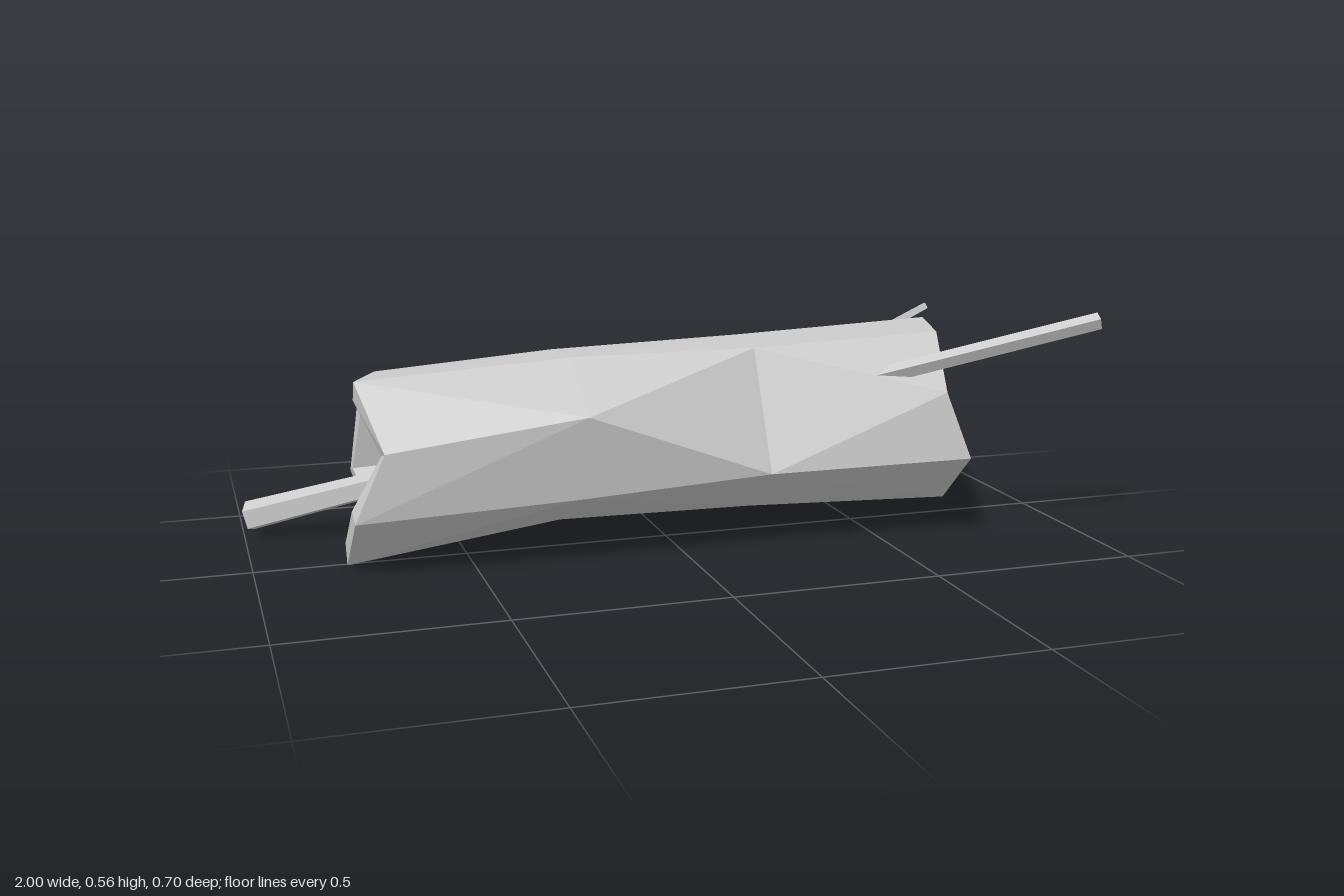
import * as THREE from 'three';

const material = () => new THREE.MeshStandardMaterial({ color: 0xcccccc, flatShading: true, side: THREE.DoubleSide });
const V = (x, y, z) => new THREE.Vector3(x, y, z);

// Eight-sided sections of the trunk from right to left; each point is [x, y, z]
const sections = [
  [[-.755, .44, .02], [-.68, .422, -.19], [-.71, .32, -.307], [-.73, .145, -.335],
    [-.7, .032, -.2], [-.785, .002, .01], [-.78, .14, .16], [-.71, .3, .17]],
  [[-.25, .475, .05], [-.25, .462, -.14], [-.25, .352, -.268], [-.25, .18, -.285],
    [-.26, .072, -.165], [-.27, .068, .005], [-.27, .165, .19], [-.25, .365, .22]],
  [[.2, .478, .078], [.23, .48, -.11], [.23, .373, -.235], [.23, .2, -.245],
    [.2, .1, -.155], [.2, .078, .06], [.2, .195, .21], [.2, .335, .144]],
  [[.67, .5, .11], [.73, .503, -.09], [.72, .39, -.24], [.74, .215, -.245],
    [.71, .09, -.095], [.71, .07, .1], [.7, .208, .26], [.645, .37, .23]],
].map(ring => ring.map(p => V(...p)));

const centre = ring => ring.reduce((sum, p) => sum.add(p), V(0, 0, 0)).divideScalar(ring.length);

// Shrink a section towards its axis, keeping its ragged x positions
function inset(ring, s) {
  const c = centre(ring);
  return ring.map(p => V(p.x, c.y + (p.y - c.y) * s, c.z + (p.z - c.z) * s));
}

function meshFrom(name, points) {
  const geometry = new THREE.BufferGeometry().setFromPoints(points);
  geometry.computeVertexNormals();
  const mesh = new THREE.Mesh(geometry, material());
  mesh.name = name;
  return mesh;
}

// Join consecutive rings; each quad is split along its raised diagonal
function loft(rings) {
  const out = [];
  for (let r = 0; r < rings.length - 1; r++) {
    for (let i = 0; i < 8; i++) {
      const j = (i + 1) % 8;
      const a = rings[r][i], b = rings[r][j], c = rings[r + 1][i], d = rings[r + 1][j];
      const normal = c.clone().sub(a).cross(b.clone().sub(a));
      const raised = normal.dot(d.clone().sub(a)) <= 0;
      if (raised) out.push(a, c, b, b, c, d);
      else out.push(a, c, d, a, d, b);
    }
  }
  return out;
}

// Tapered stick running through a list of [x, y, z, radius]
function branch(name, path, sides, turn) {
  const group = new THREE.Group();
  group.name = name;
  for (let i = 0; i < path.length - 1; i++) {
    const a = V(...path[i]), b = V(...path[i + 1]);
    const geometry = new THREE.CylinderGeometry(path[i + 1][3], path[i][3], a.distanceTo(b), sides, 1, false, turn);
    const mesh = new THREE.Mesh(geometry, material());
    mesh.name = name + 'Segment';
    mesh.position.copy(a).lerp(b, .5);
    mesh.quaternion.setFromUnitVectors(V(0, 1, 0), b.clone().sub(a).normalize());
    group.add(mesh);
  }
  return group;
}

export function createModel() {
  const model = new THREE.Group();
  model.name = 'hollowLog';

  // Bark, both rims and the hollow inside, as one closed sleeve
  const inner = sections.map((ring, i) => inset(ring, [.78, .84, .82, .78][i]));
  model.add(meshFrom('trunk', loft([...sections, ...inner.slice().reverse(), sections[0]])));

  // Wall closing the hollow deep inside
  const wall = inner[1], middle = centre(wall), fan = [];
  wall.forEach((p, i) => fan.push(middle, wall[(i + 1) % 8], p));
  model.add(meshFrom('innerWall', fan));

  // Broken branches
  model.add(
    branch('frontBranch', [[.27, .342, .075, .022], [.992, .545, .331, .021]], 4, .9),
    branch('backTwig', [[.3, .37, -.045, .012], [.42, .408, -.067, .013],
      [.55, .437, -.11, .014], [.76, .525, -.135, .011]], 4, .6),
    branch('rightBranch', [[-.988, .05, -.313, .039], [-.23, .262, -.05, .023]], 5, .3),
  );
  return model;
}
